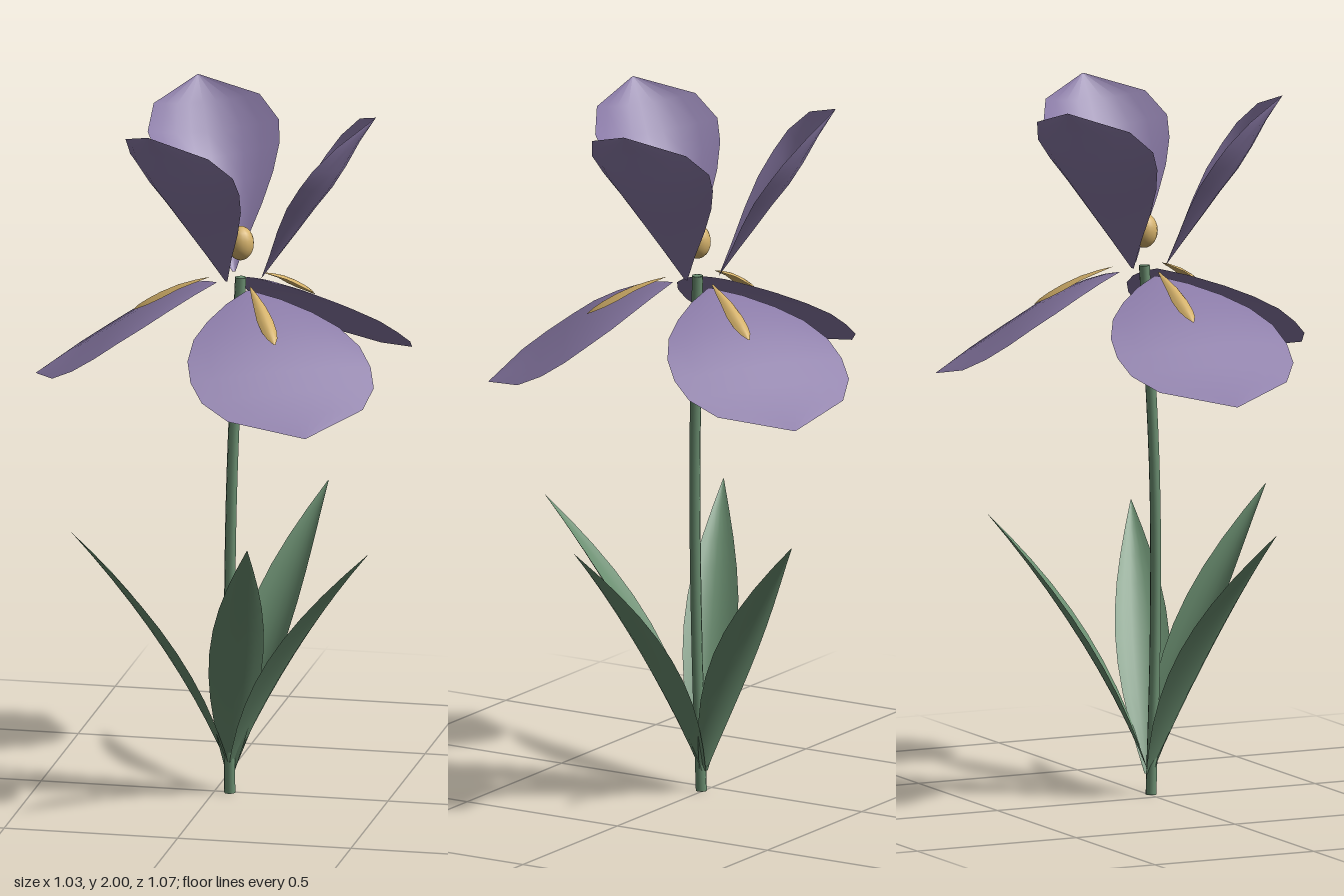
import * as THREE from 'three';

const mat = (name, color) =>
  Object.assign(new THREE.MeshStandardMaterial({ color }), { name });

// Blade along +x from rows of [reach, height, half width, cup]; edges lift by cup.
function bladeGeometry(rows, cols = 8) {
  const pos = [], idx = [];
  rows.forEach(([r, y, w, cup], i) => {
    const a = rows[Math.max(i - 1, 0)], b = rows[Math.min(i + 1, rows.length - 1)];
    const dr = b[0] - a[0], dy = b[1] - a[1], len = Math.hypot(dr, dy);
    for (let j = 0; j <= cols; j++) {
      const u = (2 * j) / cols - 1, lift = cup * u * u;
      pos.push(r - (dy / len) * lift, y + (dr / len) * lift, u * w);
    }
  });
  const n = cols + 1;
  for (let i = 0; i < rows.length - 1; i++)
    for (let j = 0; j < cols; j++) {
      const k = i * n + j;
      idx.push(k, k + 1, k + n, k + 1, k + n + 1, k + n);
    }
  const g = new THREE.BufferGeometry();
  g.setAttribute('position', new THREE.Float32BufferAttribute(pos, 3));
  g.setIndex(idx);
  g.computeVertexNormals();
  return g;
}

export function createModel() {
  const model = new THREE.Group();
  model.name = 'flower';
  const violet = mat('petal violet', 0x8b7ba8);
  const green = mat('leaf green', 0x6b8f71);
  const gold = mat('gold', 0xd4b16a);
  violet.side = green.side = gold.side = THREE.DoubleSide;

  const add = (name, geometry, material, x = 0, y = 0, z = 0, degrees = 0) => {
    const m = new THREE.Mesh(geometry, material);
    m.name = name;
    m.position.set(x, y, z);
    m.rotation.y = -THREE.MathUtils.degToRad(degrees);
    model.add(m);
    return m;
  };

  // Stem, gently bowed, with end caps
  const path = new THREE.CatmullRomCurve3([
    new THREE.Vector3(0.045, 0, 0.006),
    new THREE.Vector3(0.047, 0.45, 0.02),
    new THREE.Vector3(0.054, 0.9, 0.022),
    new THREE.Vector3(0.075, 1.51, 0),
  ]);
  add('stem', new THREE.TubeGeometry(path, 16, 0.016, 8), green);
  for (const [t, tilt] of [[0, Math.PI / 2], [1, -Math.PI / 2]]) {
    const p = path.getPoint(t);
    add('stemCap', new THREE.CircleGeometry(0.016, 8).rotateX(tilt), green, p.x, p.y, p.z);
  }

  // Leaves: [azimuth, tip height]
  for (const [angle, tip] of [[72, 0.835], [-65, 0.81], [155, 0.79], [20, 0.765]]) {
    const rows = [];
    for (let i = 0; i <= 10; i++) {
      const t = i / 10, bulge = Math.sin(Math.PI * t);
      rows.push([0.46 * (0.65 * t + 0.35 * t * t), 0.06 + (tip - 0.06) * t,
        0.07 * bulge + 0.012 * (1 - t) + 0.001, 0.022 * bulge]);
    }
    add('leaf', bladeGeometry(rows, 6), green, 0.045, 0, 0, angle);
  }

  // Drooping outer petals, each with a golden beard
  const fall = bladeGeometry([
    [0.07, 1.49, 0.004, 0], [0.12, 1.475, 0.08, -0.005], [0.18, 1.45, 0.155, -0.01],
    [0.24, 1.42, 0.215, -0.014], [0.31, 1.38, 0.255, -0.016], [0.375, 1.335, 0.267, -0.016],
    [0.44, 1.29, 0.255, -0.014], [0.505, 1.245, 0.2, -0.008], [0.59, 1.195, 0.002, 0],
  ]);
  const beard = bladeGeometry([
    [0.09, 1.505, 0.002, 0], [0.13, 1.495, 0.01, -0.006], [0.18, 1.478, 0.018, -0.01],
    [0.23, 1.454, 0.024, -0.014], [0.27, 1.43, 0.022, -0.012], [0.295, 1.412, 0.015, -0.007],
    [0.312, 1.395, 0.002, 0],
  ], 6);
  for (const angle of [60, 180, 300]) {
    add('outerPetal', fall, violet, 0.075, 0, 0, angle);
    add('beard', beard, gold, 0.075, 0, 0, angle);
  }

  // Upright cupped inner petals
  const standard = bladeGeometry([
    [0.06, 1.51, 0.004, 0], [0.11, 1.58, 0.05, 0.02], [0.165, 1.655, 0.105, 0.045],
    [0.215, 1.725, 0.15, 0.062], [0.265, 1.79, 0.182, 0.07], [0.305, 1.855, 0.195, 0.065],
    [0.345, 1.93, 0.157, 0.04], [0.39, 2.0, 0.002, 0],
  ]);
  for (const angle of [0, 120, 240]) add('innerPetal', standard, violet, 0.075, 0, 0, angle);

  // Golden heart of the bloom
  add('heart', new THREE.SphereGeometry(0.038, 16, 12), gold, 0.075, 1.61, 0).scale.y = 1.3;

  return model;
}
